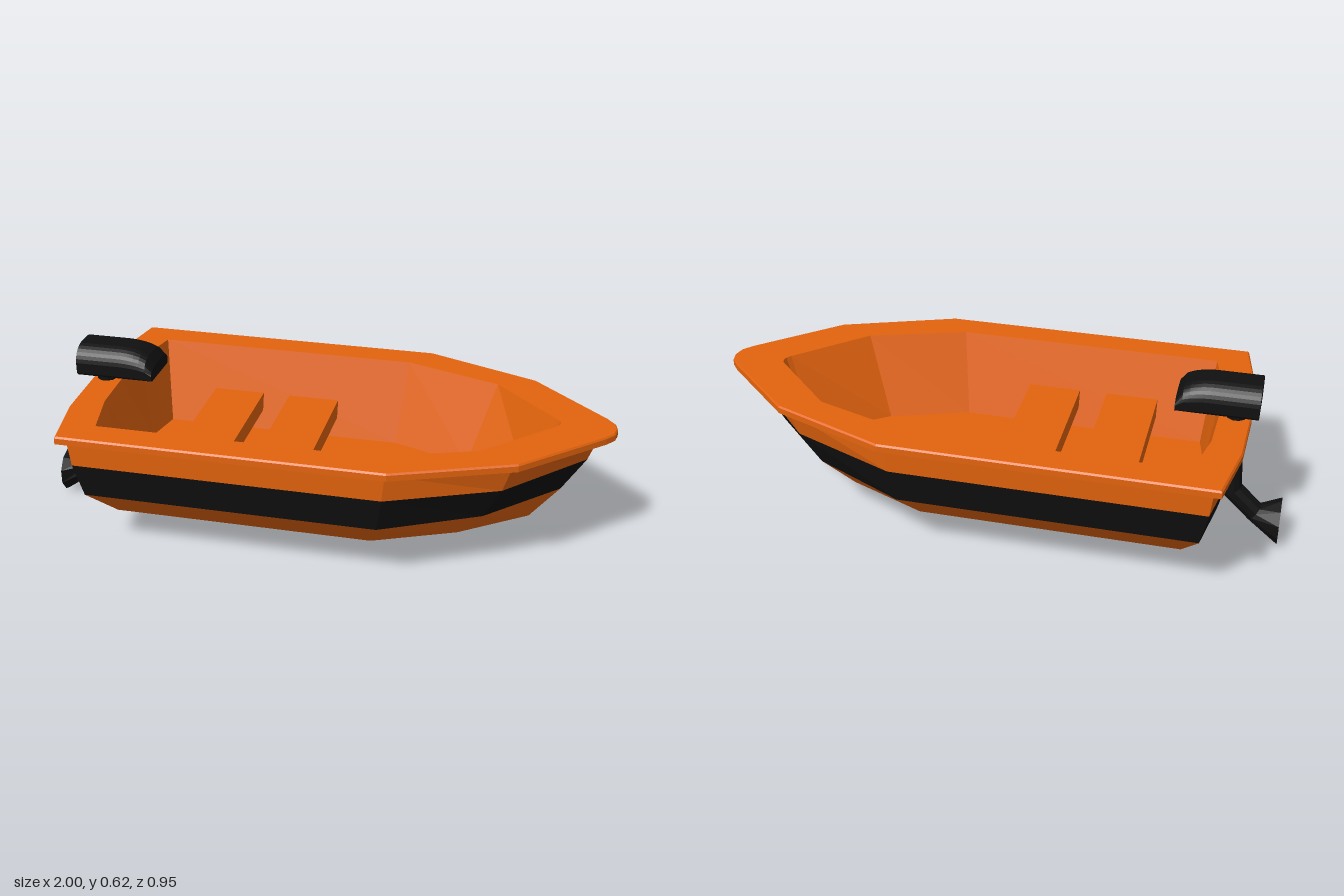
import * as THREE from 'three';

const orange = new THREE.MeshStandardMaterial({ color: 0xe4640e, flatShading: true });
const black = new THREE.MeshStandardMaterial({ color: 0x101010, flatShading: true });

// Skin a list of closed rings that all have the same number of points
function loft(rings) {
  const n = rings[0].length, pos = [];
  for (let i = 0; i < rings.length - 1; i++) {
    for (let j = 0; j < n; j++) {
      const k = (j + 1) % n;
      const a = rings[i][j], b = rings[i][k], c = rings[i + 1][k], d = rings[i + 1][j];
      pos.push(...a, ...d, ...c, ...a, ...c, ...b);
    }
  }
  const g = new THREE.BufferGeometry();
  g.setAttribute('position', new THREE.Float32BufferAttribute(pos, 3));
  g.computeVertexNormals();
  return g;
}

// Boat outline at height y: rounded bow, two shoulders, square corners, bowed stern
function outline(y, bowX, bowZ, frontX, frontZ, midX, width, cornerX, sternX) {
  const half = [
    [bowX - bowZ * 0.1, bowZ * 0.5],
    [bowX - bowZ * 0.5, bowZ],
    [frontX, frontZ],
    [midX, width],
    [cornerX, width],
    [sternX + (cornerX - sternX) * 0.15, width * 0.5],
  ];
  return [
    [bowX, y, 0],
    ...half.map(([x, z]) => [x, y, z]),
    [sternX, y, 0],
    ...half.reverse().map(([x, z]) => [x, y, -z]),
  ];
}

// Close an outline by folding it onto the centre line
const fold = ring => ring.map(([x, y]) => [x, y, 0]);

// Round section of the motor leg, tilted backwards by an angle
function legRing(x, y, tilt, r) {
  return Array.from({ length: 10 }, (_, i) => {
    const t = i / 10 * Math.PI * 2, u = r * Math.cos(t);
    return [x + u * Math.cos(tilt), y - u * Math.sin(tilt), -r * Math.sin(t)];
  });
}

export function createModel() {
  const model = new THREE.Group();
  const add = (name, geometry, material, parent = model) => {
    const mesh = new THREE.Mesh(geometry, material);
    mesh.name = name;
    parent.add(mesh);
    return mesh;
  };

  // Hull levels from the keel to the floor inside
  const bottom = outline(0.075, 0.58, 0.004, 0.42, 0.13, 0.16, 0.23, -0.61, -0.64);
  const chine = outline(0.108, 0.73, 0.004, 0.5, 0.17, 0.22, 0.29, -0.69, -0.725);
  const stripeLow = outline(0.23, 0.83, 0.004, 0.59, 0.245, 0.26, 0.41, -0.755, -0.795);
  const stripeHigh = outline(0.355, 0.91, 0.004, 0.65, 0.28, 0.28, 0.435, -0.78, -0.825);
  const hullTop = outline(0.453, 0.945, 0.06, 0.68, 0.295, 0.29, 0.44, -0.79, -0.835);
  const rimLow = outline(0.453, 1.0, 0.07, 0.7, 0.32, 0.3, 0.475, -0.815, -0.865);
  const rimEdge = outline(0.474, 1.0, 0.07, 0.7, 0.32, 0.3, 0.475, -0.815, -0.865);
  const rimHigh = outline(0.48, 0.995, 0.07, 0.698, 0.316, 0.3, 0.47, -0.81, -0.86);
  const opening = outline(0.48, 0.81, 0.03, 0.57, 0.255, 0.23, 0.37, -0.71, -0.757);
  const floor = outline(0.18, 0.73, 0.015, 0.48, 0.19, 0.2, 0.29, -0.68, -0.715);

  add('lowerHull', loft([fold(bottom), bottom, chine, stripeLow]), orange);
  add('hullStripe', loft([stripeLow, stripeHigh]), black);
  add('upperHullAndRim', loft([stripeHigh, hullTop, rimLow, rimEdge, rimHigh, opening]), orange);
  add('interior', loft([opening, floor, fold(floor)]), orange);

  // Two bench seats
  for (const [name, x] of [['rearSeat', -0.415], ['middleSeat', -0.125]]) {
    add(name, new THREE.BoxGeometry(0.19, 0.065, 0.68), orange).position.set(x, 0.283, 0);
  }

  // Outboard motor
  const motor = new THREE.Group();
  motor.name = 'outboardMotor';
  motor.position.z = -0.004;
  model.add(motor);

  // Cowling: domed section, extruded forwards and sloping down to its nose
  const section = new THREE.Shape();
  section.moveTo(-0.08, 0);
  section.lineTo(0.08, 0);
  section.lineTo(0.089, 0.01);
  section.lineTo(0.089, 0.048);
  section.quadraticCurveTo(0.084, 0.093, 0.035, 0.104);
  section.lineTo(-0.035, 0.104);
  section.quadraticCurveTo(-0.084, 0.093, -0.089, 0.048);
  section.lineTo(-0.089, 0.01);
  section.closePath();
  const cowling = new THREE.ExtrudeGeometry(section, {
    depth: 0.277, steps: 12, bevelEnabled: false, curveSegments: 6,
  });
  cowling.rotateY(Math.PI / 2);
  const p = cowling.attributes.position;
  for (let i = 0; i < p.count; i++) {
    const t = Math.max(0, (p.getX(i) - 0.15) / 0.127);
    p.setY(i, p.getY(i) * (0.45 + 0.55 * Math.sqrt(Math.max(0, 1 - t * t))));
  }
  cowling.translate(-0.89, 0.518, 0);
  cowling.computeVertexNormals();
  add('motorCowling', cowling, black, motor);

  // Leg bending backwards and flaring into the propeller cone
  add('motorLeg', loft([
    legRing(-0.813, 0.53, 0, 0),
    legRing(-0.813, 0.53, 0, 0.035),
    legRing(-0.813, 0.33, 0.05, 0.035),
    legRing(-0.825, 0.19, 0.5, 0.037),
    legRing(-0.91, 0.108, 0.95, 0.036),
    legRing(-0.999, 0.082, Math.PI / 2, 0.082),
    legRing(-0.999, 0.082, Math.PI / 2, 0),
  ]), black, motor);

  return model;
}
